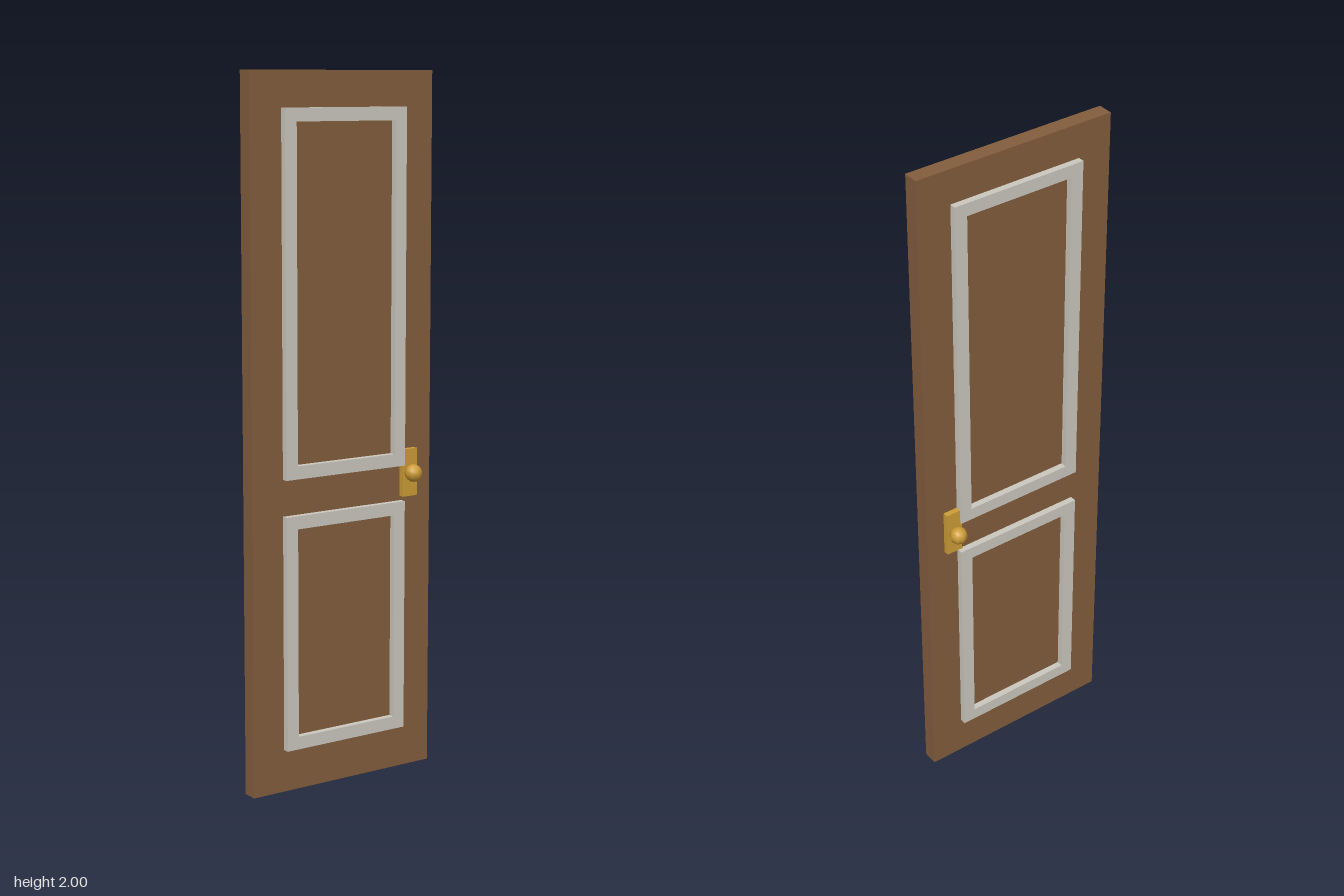
import * as THREE from 'three';

const wood = new THREE.MeshStandardMaterial({ color: 0x825d3d });
wood.name = 'brown wood';
const trim = new THREE.MeshStandardMaterial({ color: 0xcac7bd });
trim.name = 'pale trim';
const brass = new THREE.MeshStandardMaterial({ color: 0xcc9c36 });
brass.name = 'brass';

const DOOR_Z = 0.0225; // half thickness of the door

function addMesh(parent, name, geometry, material, x, y, z) {
  const mesh = new THREE.Mesh(geometry, material);
  mesh.name = name;
  mesh.position.set(x, y, z);
  parent.add(mesh);
  return mesh;
}

// Rectangular outline centred on x
function rectangle(path, halfWidth, bottom, top) {
  path.moveTo(-halfWidth, bottom);
  path.lineTo(halfWidth, bottom);
  path.lineTo(halfWidth, top);
  path.lineTo(-halfWidth, top);
  path.closePath();
  return path;
}

// Raised moulding with an open middle
function mouldingGeometry(bottom, top) {
  const border = 0.037;
  const shape = rectangle(new THREE.Shape(), 0.2, bottom, top);
  shape.holes.push(rectangle(new THREE.Path(), 0.2 - border, bottom + border, top - border));
  return new THREE.ExtrudeGeometry(shape, { depth: 0.038, bevelEnabled: false });
}

export function createModel() {
  const door = new THREE.Group();
  door.name = 'door';

  // Door leaf
  addMesh(door, 'doorLeaf', new THREE.BoxGeometry(0.6, 2, DOOR_Z * 2), wood, 0, 1, 0);

  const upper = mouldingGeometry(0.894, 1.901);
  const lower = mouldingGeometry(0.122, 0.791);
  const plate = new THREE.BoxGeometry(0.049, 0.137, 0.034);
  const knob = new THREE.SphereGeometry(0.0255, 8, 8);

  // Mouldings and handle on both faces
  for (const [side, s] of [['front', 1], ['back', -1]]) {
    const mouldingZ = s > 0 ? 0.0035 : -0.0415;
    addMesh(door, side + 'UpperMoulding', upper, trim, 0, 0, mouldingZ);
    addMesh(door, side + 'LowerMoulding', lower, trim, 0, 0, mouldingZ);
    addMesh(door, side + 'HandlePlate', plate, brass, 0.2195, 0.872, s * 0.022);
    addMesh(door, side + 'Knob', knob, brass, 0.2185, 0.873, s * 0.057);
  }
  return door;
}
